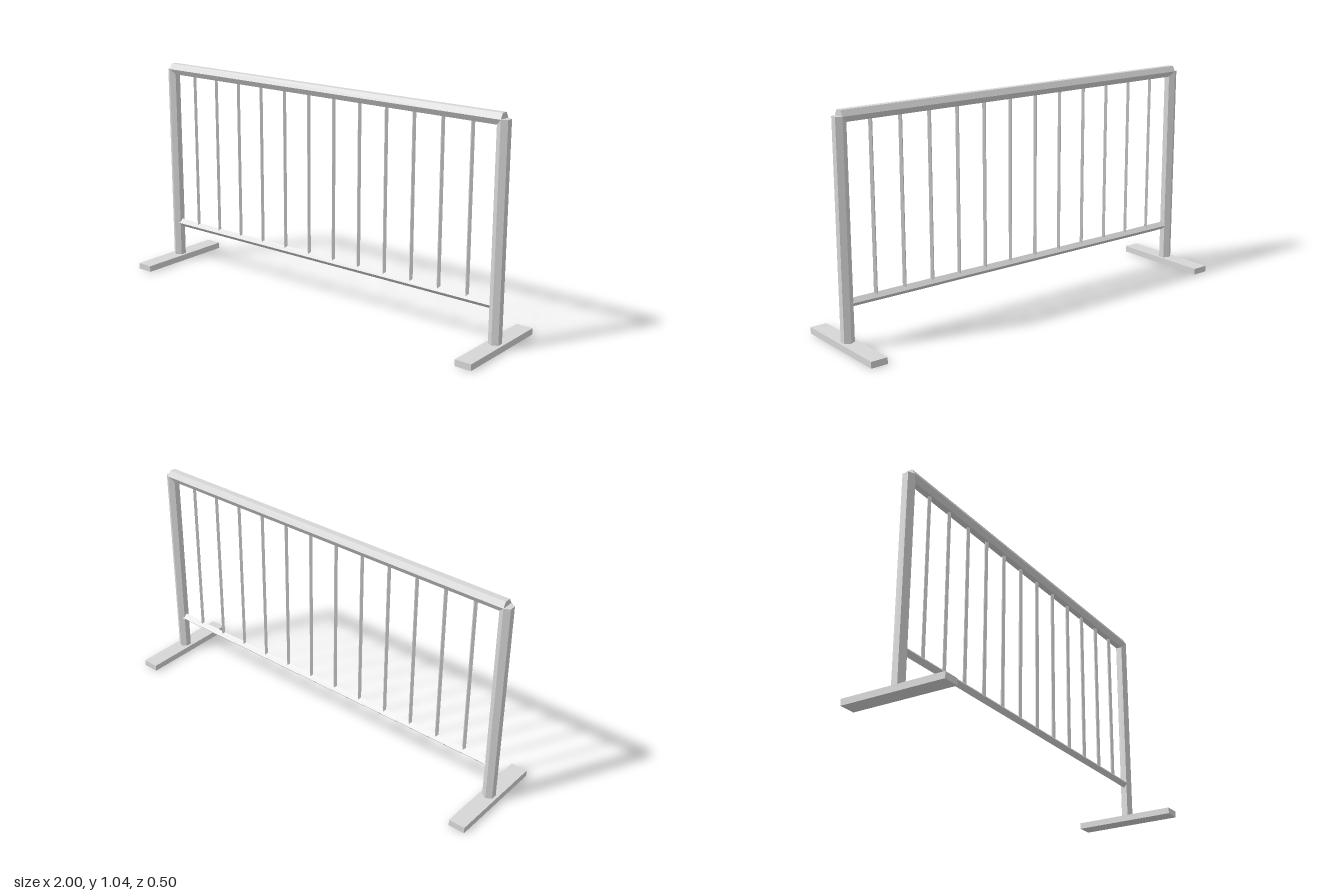
import * as THREE from 'three';

export function createModel() {
  const group = new THREE.Group();
  const steel = new THREE.MeshStandardMaterial({ color: 0xd6d6d6, flatShading: true });
  steel.name = 'galvanised grey';

  const add = (name, geometry, x, y) => {
    const mesh = new THREE.Mesh(geometry, steel);
    mesh.name = name;
    mesh.position.set(x, y, 0);
    group.add(mesh);
  };
  // Faceted tube, upright by default
  const tube = (radius, length, sides) => new THREE.CylinderGeometry(radius, radius, length, sides);

  const postX = 0.96, topY = 1.01, lowY = 0.203, footH = 0.03;

  // Feet and hexagonal posts at both ends
  for (const [side, s] of [['left', 1], ['right', -1]]) {
    add(side + 'Foot', new THREE.BoxGeometry(0.08, footH, 0.503), s * postX, footH / 2);
    add(side + 'Post', tube(0.03, topY - 0.02, 6), s * postX, (topY + 0.02) / 2);
  }

  // Horizontal rails: hexagonal on top, diamond below
  add('topRail', tube(0.03, 2 * postX, 6).rotateZ(Math.PI / 2), 0, topY);
  add('lowerRail', tube(0.02, 2 * postX, 4).rotateZ(Math.PI / 2), 0, lowY);

  // Evenly spaced upright diamond bars
  const bars = 12, gap = 2 * postX / (bars + 1);
  for (let i = 1; i <= bars; i++) {
    add('bar' + i, tube(0.01, topY - lowY, 4), -postX + i * gap, (topY + lowY) / 2);
  }
  return group;
}
